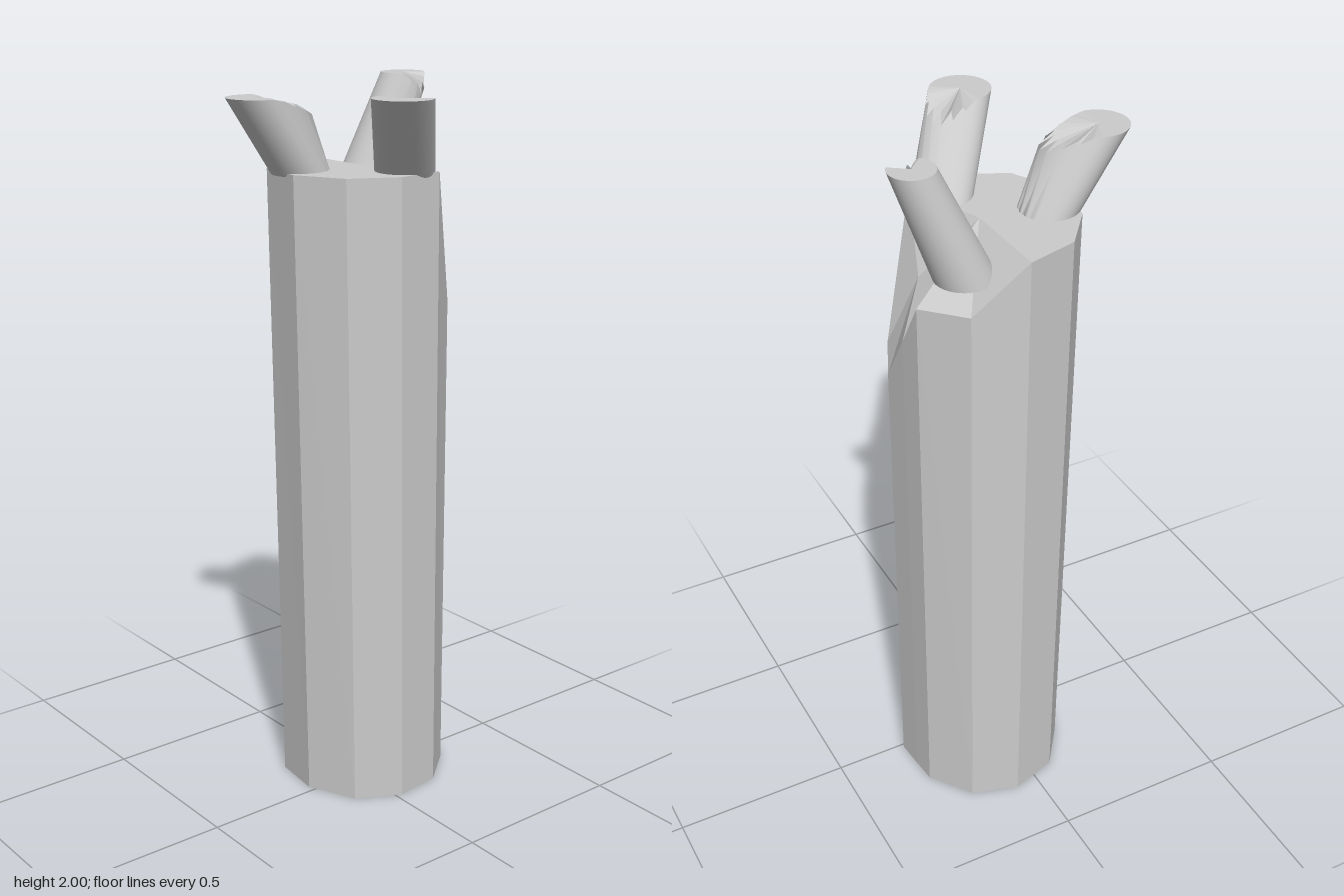
import * as THREE from 'three';
import { mergeGeometries } from 'three/addons/utils/BufferGeometryUtils.js';

const material = new THREE.MeshStandardMaterial({ color: 0xcccccc });
const flatMaterial = new THREE.MeshStandardMaterial({ color: 0xcccccc, flatShading: true });

function buildGeometry(points, index) {
  const g = new THREE.BufferGeometry();
  g.setAttribute('position', new THREE.Float32BufferAttribute(points.flat(), 3));
  g.setIndex(index);
  const out = g;
  out.computeVertexNormals();
  return out;
}

// Faceted trunk with a broken-away corner at the top
function trunk() {
  const top = 1.775;
  // rim corners [x, y, z], running back, right, front, left
  const rim = [
    [0.05, top, -0.315], [0.19, 1.64, -0.275], [0.28, 1.63, -0.16], [0.288, 1.5, -0.09],
    [0.295, 1.36, -0.01], [0.255, 1.4, 0.075], [0.14, top, 0.165], [0, top, 0.18],
    [-0.13, top, 0.115], [-0.197, top, -0.02], [-0.18, top, -0.16], [-0.09, top, -0.275],
  ];
  const n = rim.length;
  // the foot is a little narrower on one side
  const foot = rim.map(([x, , z]) => [x + 0.065 * (0.29 - x), 0, z]);
  const crest = [0.055, top, -0.06], crestFront = [0.085, top, 0.01], hollow = [0.185, 1.6, 0.025];
  const points = [...rim, ...foot, crest, crestFront, hollow];
  const P = 2 * n, Q = P + 1, R = P + 2;
  const index = [];
  for (let i = 0; i < n; i++) {
    const j = (i + 1) % n;
    index.push(n + i, i, j, n + i, j, n + j);
    if (i > 0 && i < n - 1) index.push(n, n + i, n + i + 1);
  }
  // level top
  for (let i = 7; i < n; i++) index.push(P, (i + 1) % n, i);
  index.push(P, 7, Q, Q, 7, 6);
  // broken corner
  index.push(P, 1, 0, P, 2, 1, P, 3, 2, P, R, 3, R, 4, 3, R, 5, 4, R, 6, 5, Q, 6, R, P, Q, R);
  const mesh = new THREE.Mesh(buildGeometry(points, index).toNonIndexed(), flatMaterial);
  mesh.geometry.computeVertexNormals();
  mesh.name = 'trunk';
  return mesh;
}

// Leaning round stub, cut level at the top, with a splintered notch towards notchAngle
function branch(name, { base, baseRadius, end, endRadius, notchAngle, notchWidth, notchDepth, notchDrop }) {
  const n = 40;
  const ring = ([x, y, z], r, jagged) => Array.from({ length: n }, (_, i) => {
    const a = (i / n) * Math.PI * 2;
    let slide = 0;
    if (jagged) {
      const d = Math.abs(Math.atan2(Math.sin(a - notchAngle), Math.cos(a - notchAngle))) / notchWidth;
      if (d < 1) slide = Math.cos(d * Math.PI / 2) * (i % 2 ? 1 : 0.45);
    }
    return [
      x + Math.cos(a) * r + Math.cos(notchAngle) * slide * notchDepth,
      y - slide * notchDrop,
      z + Math.sin(a) * r + Math.sin(notchAngle) * slide * notchDepth,
    ];
  });
  const lower = ring(base, baseRadius, false), upper = ring(end, endRadius, true);
  const side = [], cap = [], under = [];
  for (let i = 0; i < n; i++) {
    const j = (i + 1) % n;
    side.push(i, n + i, n + j, i, n + j, j);
    cap.push(n, j, i);
    under.push(n, i, j);
  }
  const parts = [
    buildGeometry([...lower, ...upper], side),
    buildGeometry([...upper, end], cap).toNonIndexed(),
    buildGeometry([...lower, base], under),
  ].map((g, i) => {
    const flat = g.index ? g.toNonIndexed() : g;
    if (i === 1) flat.computeVertexNormals();
    return flat;
  });
  const mesh = new THREE.Mesh(mergeGeometries(parts), material);
  mesh.name = name;
  return mesh;
}

export function createModel() {
  const model = new THREE.Group();
  model.name = 'treeStump';
  model.add(
    trunk(),
    branch('rightBranch', {
      base: [-0.12, 1.765, -0.09], baseRadius: 0.079, end: [-0.26, 1.97, -0.09], endRadius: 0.079,
      notchAngle: 0.2, notchWidth: 1.3, notchDepth: 0.075, notchDrop: 0.05,
    }),
    branch('frontBranch', {
      base: [0.09, 1.755, 0.085], baseRadius: 0.08, end: [-0.045, 1.98, 0.235], endRadius: 0.08,
      notchAngle: -0.6, notchWidth: 1.1, notchDepth: 0.05, notchDrop: 0.05,
    }),
    branch('leftBranch', {
      base: [0.155, 1.695, -0.175], baseRadius: 0.08, end: [0.28, 2, -0.155], endRadius: 0.06,
      notchAngle: 1.5, notchWidth: 0.8, notchDepth: 0.01, notchDrop: 0.06,
    }),
  );
  return model;
}
